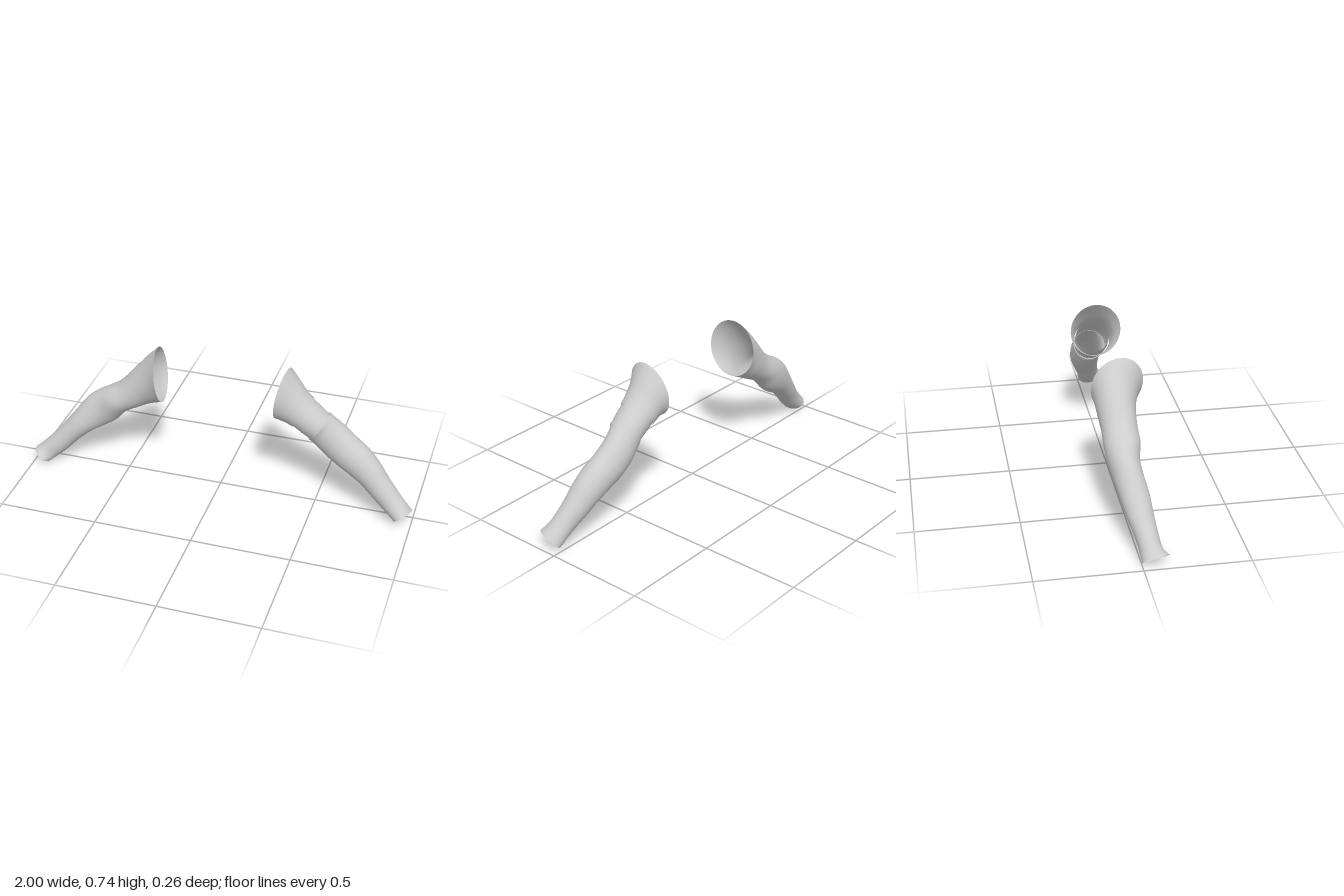
import * as THREE from 'three';

const SIDES = 40;
const cloth = new THREE.MeshStandardMaterial({ color: 0xcccccc, side: THREE.DoubleSide });
cloth.name = 'light grey cloth';

// Smooth value between the rows of a section list
function sample(rows, t, k) {
  const i = Math.min(Math.floor(t), rows.length - 2), f = t - i;
  const at = (j) => rows[Math.max(0, Math.min(rows.length - 1, j))][k] ?? 0;
  const a = at(i - 1), b = at(i), c = at(i + 1), d = at(i + 2);
  return b + 0.5 * f * (c - a + f * (2 * a - 5 * b + 4 * c - d + f * (3 * (b - c) + d - a)));
}

// Open tube through oval sections.
// Row: upper x, y, lower x, y, front z, back z, lean of the front edge in x, y
function sleeve(name, rows, side, steps = 5) {
  const rings = (rows.length - 1) * steps;
  const pos = [], index = [];
  for (let r = 0; r <= rings; r++) {
    const [tx, ty, bx, by, zf, zb, lx, ly] = [0, 1, 2, 3, 4, 5, 6, 7].map((k) => sample(rows, r / steps, k));
    for (let s = 0; s < SIDES; s++) {
      const a = (s / SIDES) * Math.PI * 2, c = Math.cos(a), n = Math.sin(a);
      pos.push(
        side * ((tx + bx) / 2 + (c * (tx - bx)) / 2 + n * lx),
        (ty + by) / 2 + (c * (ty - by)) / 2 + n * ly,
        (zf + zb) / 2 + (n * (zf - zb)) / 2
      );
      if (r === rings) continue;
      const p = r * SIDES + s, q = r * SIDES + ((s + 1) % SIDES);
      const u = p + SIDES, v = q + SIDES;
      if (side > 0) index.push(p, u, q, q, u, v);
      else index.push(p, q, u, q, v, u);
    }
  }
  const geo = new THREE.BufferGeometry();
  geo.setAttribute('position', new THREE.Float32BufferAttribute(pos, 3));
  geo.setIndex(index);
  geo.computeVertexNormals();
  const mesh = new THREE.Mesh(geo, cloth);
  mesh.name = name;
  return mesh;
}

export function createModel() {
  const model = new THREE.Group();
  model.name = 'pair of sleeves';

  // Right sleeve: one piece from shoulder to wrist
  const right = new THREE.Group();
  right.name = 'rightSleeve';
  right.add(sleeve('rightFullSleeve', [
    [0.33, 0.75, 0.297, 0.46, 0.125, -0.13, -0.012, 0.01],
    [0.385, 0.692, 0.325, 0.447, 0.092, -0.122, -0.008, 0],
    [0.45, 0.617, 0.37, 0.425, 0.07, -0.115],
    [0.53, 0.525, 0.43, 0.395, 0.065, -0.106],
    [0.6, 0.475, 0.505, 0.352, 0.066, -0.106],
    [0.665, 0.437, 0.565, 0.285, 0.052, -0.1],
    [0.722, 0.39, 0.625, 0.245, 0.055, -0.088],
    [0.795, 0.297, 0.695, 0.207, 0.072, -0.068],
    [0.86, 0.215, 0.767, 0.147, 0.08, -0.045],
    [0.92, 0.147, 0.83, 0.083, 0.09, -0.02],
    [0.965, 0.102, 0.88, 0.04, 0.1, -0.008],
    [1.0, 0.072, 0.922, 0.01, 0.127, -0.003, -0.01, 0.008],
  ], -1));

  // Left sleeve: flared shoulder cap, band and lower sleeve
  const left = new THREE.Group();
  left.name = 'leftSleeve';
  left.add(sleeve('shoulderCap', [
    [0.335, 0.748, 0.297, 0.48, 0.125, -0.13, -0.012, 0.01],
    [0.385, 0.685, 0.318, 0.472, 0.1, -0.112, -0.006, 0],
    [0.43, 0.628, 0.34, 0.464, 0.09, -0.103],
    [0.468, 0.591, 0.367, 0.45, 0.086, -0.1],
  ], 1));
  left.add(sleeve('armBand', [
    [0.44, 0.612, 0.345, 0.482, 0.08, -0.093],
    [0.468, 0.585, 0.37, 0.455, 0.081, -0.094],
    [0.51, 0.55, 0.412, 0.425, 0.08, -0.091],
    [0.55, 0.515, 0.457, 0.394, 0.074, -0.087],
  ], 1));
  left.add(sleeve('lowerSleeve', [
    [0.547, 0.516, 0.458, 0.396, 0.073, -0.086],
    [0.551, 0.523, 0.456, 0.388, 0.077, -0.092],
    [0.573, 0.505, 0.476, 0.363, 0.063, -0.091],
    [0.625, 0.463, 0.53, 0.306, 0.056, -0.095],
    [0.69, 0.409, 0.6, 0.255, 0.064, -0.09],
    [0.75, 0.366, 0.66, 0.222, 0.073, -0.08],
    [0.812, 0.303, 0.728, 0.18, 0.08, -0.064],
    [0.874, 0.222, 0.79, 0.126, 0.087, -0.04],
    [0.937, 0.15, 0.855, 0.073, 0.099, -0.016],
    [0.996, 0.088, 0.92, 0.026, 0.125, -0.002, -0.012, 0.016],
  ], 1));

  model.add(right, left);
  return model;
}
